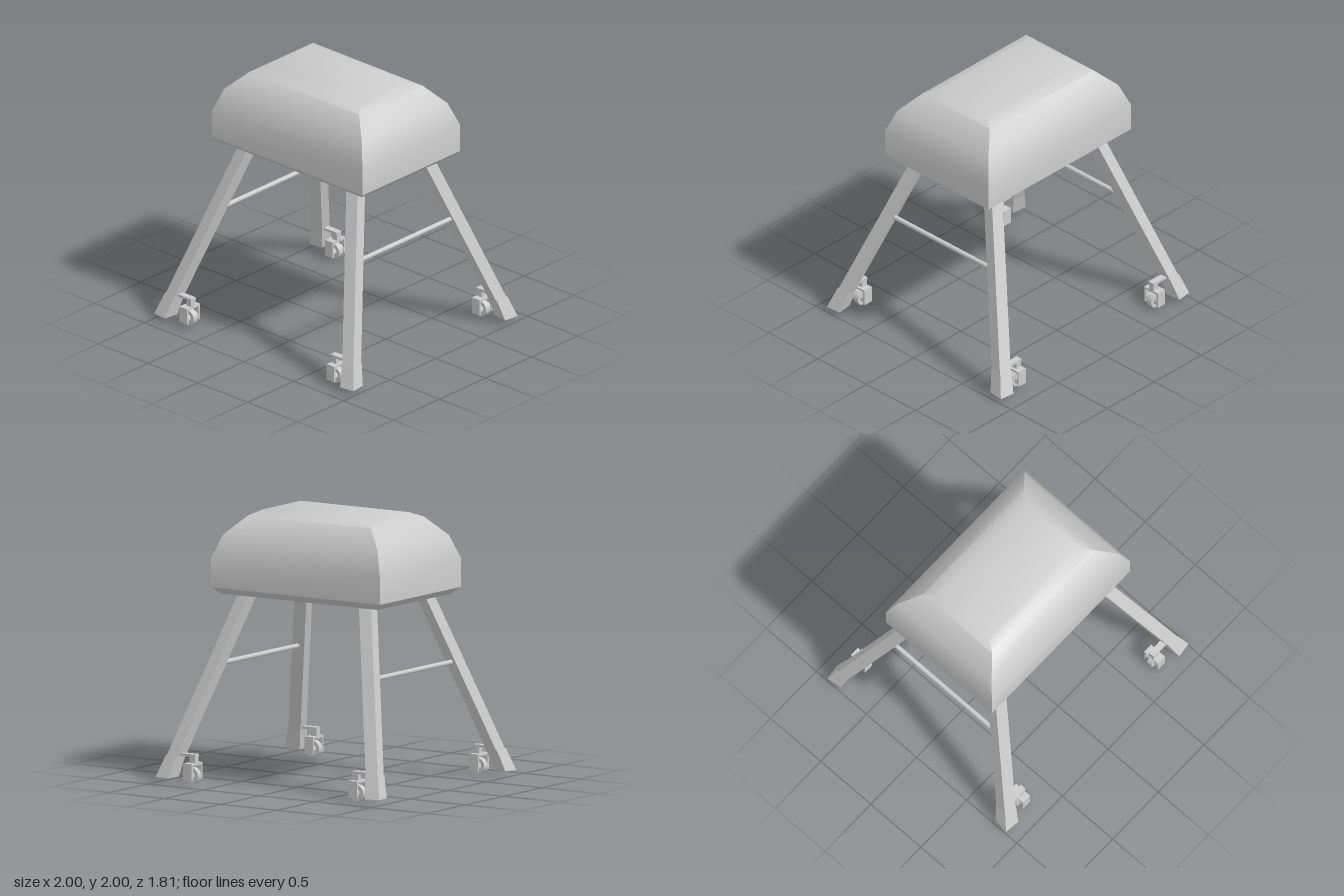
import * as THREE from 'three';
import { toCreasedNormals } from 'three/addons/utils/BufferGeometryUtils.js';

const grey = new THREE.MeshStandardMaterial({ color: 0xcccccc });
const greyOpen = new THREE.MeshStandardMaterial({ color: 0xcccccc, side: THREE.DoubleSide });

function add(parent, name, geometry, position = [0, 0, 0], material = grey) {
  const mesh = new THREE.Mesh(geometry, material);
  mesh.name = name;
  mesh.position.set(...position);
  parent.add(mesh);
  return mesh;
}

const box = (w, h, d) => new THREE.BoxGeometry(w, h, d);

// Slanted square post between two level square ends, given as [x, y, z, size]
function slantedPost(bottom, top, twist, open = false) {
  const g = new THREE.CylinderGeometry(Math.SQRT1_2, Math.SQRT1_2, 1, 4, 1, open);
  g.rotateY(Math.PI / 4 + twist);
  const p = g.attributes.position;
  for (let i = 0; i < p.count; i++) {
    const [x, y, z, s] = p.getY(i) > 0 ? top : bottom;
    p.setXYZ(i, x + p.getX(i) * s, y, z + p.getZ(i) * s);
  }
  const flat = g.toNonIndexed();
  flat.computeVertexNormals();
  return flat;
}

// Padded body: rectangular rings stacked upward, [y, half width, half depth]
function paddedBody() {
  const rings = [
    [1.38, 0.7, 0.475], [1.43, 0.755, 0.53], [1.645, 0.755, 0.53],
    [1.82, 0.69, 0.465], [1.96, 0.55, 0.345], [2.0, 0.48, 0.245],
  ];
  const corners = [[1, 1], [1, -1], [-1, -1], [-1, 1]];
  const points = [], index = [];
  for (const [y, w, d] of rings) for (const [sx, sz] of corners) points.push(sx * w, y, sz * d);
  for (let r = 0; r < rings.length - 1; r++) {
    for (let c = 0; c < 4; c++) {
      const a = r * 4 + c, b = r * 4 + (c + 1) % 4;
      index.push(a, b, b + 4, a, b + 4, a + 4);
    }
  }
  const t = (rings.length - 1) * 4;
  index.push(t, t + 1, t + 2, t, t + 2, t + 3); // top
  index.push(0, 2, 1, 0, 3, 2); // underside
  const g = new THREE.BufferGeometry();
  g.setAttribute('position', new THREE.Float32BufferAttribute(points, 3));
  g.setIndex(index);
  return toCreasedNormals(g, 0.65);
}

// Wheel with its fork and the arm that fixes it to the leg
function caster() {
  const group = new THREE.Group();
  group.name = 'caster';
  const x = 0.738, z = 0.79;
  add(group, 'casterArm', box(0.15, 0.02, 0.05), [0.775, 0.212, z]);
  add(group, 'casterPost', box(0.05, 0.07, 0.045), [0.727, 0.182, z]);
  add(group, 'forkTop', box(0.076, 0.016, 0.14), [x, 0.148, z]);
  for (const s of [-1, 1]) {
    add(group, 'forkSide', box(0.076, 0.12, 0.014), [x, 0.09, z + s * 0.063]);
  }
  const wheel = new THREE.CylinderGeometry(0.061, 0.061, 0.045, 20).rotateX(Math.PI / 2);
  add(group, 'wheel', wheel, [x, 0.061, z]);
  const hub = new THREE.CylinderGeometry(0.032, 0.032, 0.12, 16).rotateX(Math.PI / 2);
  add(group, 'wheelHub', hub, [x, 0.061, z]);
  return group;
}

// One complete leg in the +x, +z corner
function legAssembly() {
  const group = new THREE.Group();
  add(group, 'leg', slantedPost([0.892, 0.18, 0.795, 0.1], [0.532, 1.4, 0.36, 0.1], 0.15));
  add(group, 'foot', slantedPost([0.932, 0.04, 0.84, 0.12], [0.888, 0.205, 0.79, 0.104], 0.12, true),
    [0, 0, 0], greyOpen);
  group.add(caster());
  return group;
}

export function createModel() {
  const model = new THREE.Group();
  model.name = 'vaultingBuck';
  add(model, 'paddedBody', paddedBody());

  // Four mirrored legs
  for (const sx of [1, -1]) {
    for (const sz of [1, -1]) {
      const leg = legAssembly();
      leg.name = (sz > 0 ? 'front' : 'back') + (sx > 0 ? 'Left' : 'Right') + 'Leg';
      leg.scale.set(sx, 1, sz);
      model.add(leg);
    }
    // Brace between the front and back leg of each side
    const brace = new THREE.CylinderGeometry(0.018, 0.018, 1.06, 16).rotateX(Math.PI / 2);
    add(model, 'sideBrace', brace, [sx * 0.688, 0.867, 0]);
  }
  return model;
}
